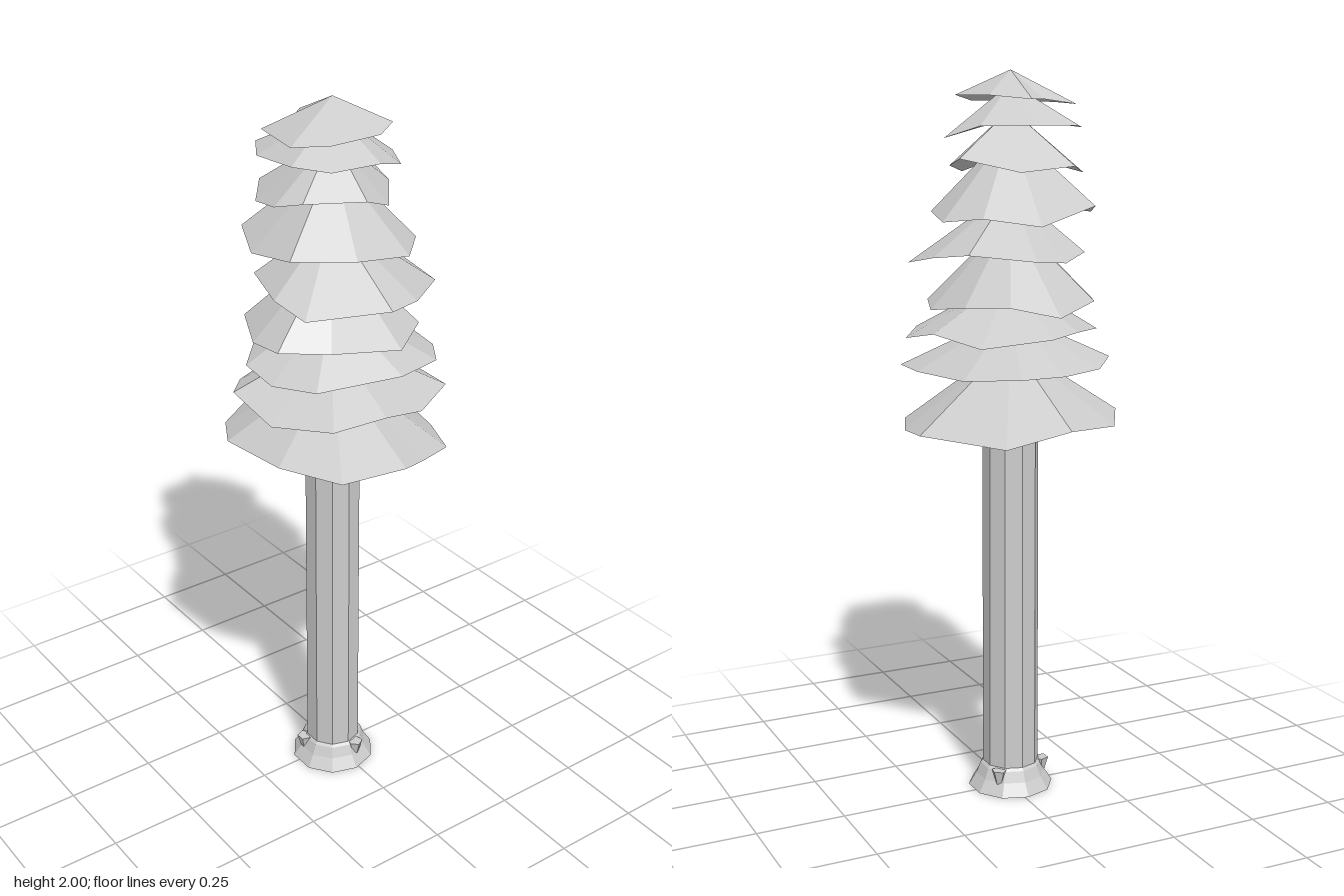
import * as THREE from 'three';

const CX = 0.011, CZ = 0.01; // trunk axis

function seeded(seed) {
  let s = seed;
  return () => ((s = (s * 16807) % 2147483647) / 2147483647);
}

const material = new THREE.MeshStandardMaterial({ color: 0xcccccc, flatShading: true });

function addMesh(parent, name, geometry) {
  const mesh = new THREE.Mesh(geometry, material);
  mesh.name = name;
  parent.add(mesh);
  return mesh;
}

// Jagged rim stretched to fill the given x and z extents
function raggedRim(sides, [x0, x1], [z0, z1], y, rand) {
  const start = rand() * Math.PI;
  const pts = Array.from({ length: sides }, (_, i) => {
    const a = start + ((i + (rand() - 0.5) * 0.5) / sides) * Math.PI * 2;
    const r = 0.9 + rand() * 0.2;
    return new THREE.Vector3(Math.cos(a) * r, y + (rand() - 0.5) * 0.045, Math.sin(a) * r);
  });
  const box = new THREE.Box3().setFromPoints(pts);
  for (const p of pts) {
    p.x = THREE.MathUtils.mapLinear(p.x, box.min.x, box.max.x, x0, x1);
    p.z = THREE.MathUtils.mapLinear(p.z, box.min.z, box.max.z, z0, z1);
  }
  return pts;
}

// Cone from the rim up to the apex, closed underneath by a shallow hollow
function tierGeometry(rim, apexY, hollowY) {
  const apex = new THREE.Vector3(CX, apexY, CZ);
  const hollow = new THREE.Vector3(CX, hollowY, CZ);
  const tris = [];
  rim.forEach((p, i) => {
    const q = rim[(i + 1) % rim.length];
    tris.push(apex, q, p, hollow, p, q);
  });
  const geo = new THREE.BufferGeometry().setFromPoints(tris);
  geo.computeVertexNormals();
  return geo;
}

const toRim = (rows) => rows.map(([x, y, z]) => new THREE.Vector3(x, y, z));

export function createModel() {
  const tree = new THREE.Group();
  tree.name = 'tree';

  // Trunk and flared foot
  const trunk = addMesh(tree, 'trunk', new THREE.CylinderGeometry(0.077, 0.079, 1.1, 10));
  trunk.position.set(CX, 0.6, CZ);
  trunk.rotation.y = Math.PI / 10;

  const profile = [[0, 0], [0.12, 0], [0.098, 0.035], [0.086, 0.065], [0.077, 0.075]];
  const foot = addMesh(tree, 'trunkFoot',
    new THREE.LatheGeometry(profile.map(([r, y]) => new THREE.Vector2(r, y)), 10));
  foot.position.set(CX, 0, CZ);
  foot.rotation.y = Math.PI / 10;

  // Small root knobs around the foot
  for (let i = 0; i < 3; i++) {
    const a = Math.PI * 0.59 + (i * Math.PI * 2) / 3;
    const knob = addMesh(tree, 'rootKnob', new THREE.CylinderGeometry(0.022, 0.01, 0.04, 5));
    knob.position.set(CX + Math.cos(a) * 0.088, 0.05, CZ + Math.sin(a) * 0.088);
    knob.rotation.y = -a;
  }

  const foliage = new THREE.Group();
  foliage.name = 'foliage';
  tree.add(foliage);

  // Widest tier at the bottom
  const bottom = toRim([
    [-0.065, 1.06, -0.29], [0.09, 1.045, -0.27], [0.225, 1.05, -0.215], [0.277, 1.07, -0.095],
    [0.315, 1.09, -0.005], [0.295, 1.095, 0.185], [0.135, 1.1, 0.27], [-0.085, 1.09, 0.285],
    [-0.215, 1.07, 0.21], [-0.315, 1.09, 0.03], [-0.26, 1.045, -0.13],
  ]);
  addMesh(foliage, 'bottomTier', tierGeometry(bottom, 1.28, 1.1));

  // Middle tiers: sides, x extent, z extent, rim height, apex height
  const rand = seeded(4177);
  const tiers = [
    [11, [-0.25, 0.27], [-0.25, 0.27], 1.215, 1.36],
    [10, [-0.26, 0.255], [-0.26, 0.24], 1.31, 1.46],
    [10, [-0.26, 0.22], [-0.215, 0.245], 1.39, 1.62],
    [10, [-0.24, 0.275], [-0.24, 0.22], 1.515, 1.69],
    [9, [-0.235, 0.225], [-0.21, 0.23], 1.63, 1.85],
    [9, [-0.18, 0.16], [-0.18, 0.2], 1.755, 1.9],
    [9, [-0.185, 0.155], [-0.185, 0.175], 1.845, 1.965],
  ];
  for (const [sides, xs, zs, y, apexY] of tiers) {
    const rim = raggedRim(sides, xs, zs, y, rand);
    addMesh(foliage, 'middleTier', tierGeometry(rim, apexY, y + 0.03));
  }

  // Crown tier
  const crown = toRim([
    [-0.07, 1.935, -0.09], [0.1, 1.935, -0.11], [0.13, 1.92, -0.05], [0.135, 1.92, 0.1],
    [0.075, 1.915, 0.18], [-0.105, 1.912, 0.145], [-0.105, 1.925, 0.05], [-0.16, 1.925, -0.01],
  ]);
  addMesh(foliage, 'crownTier', tierGeometry(crown, 2, 1.945));

  return tree;
}
